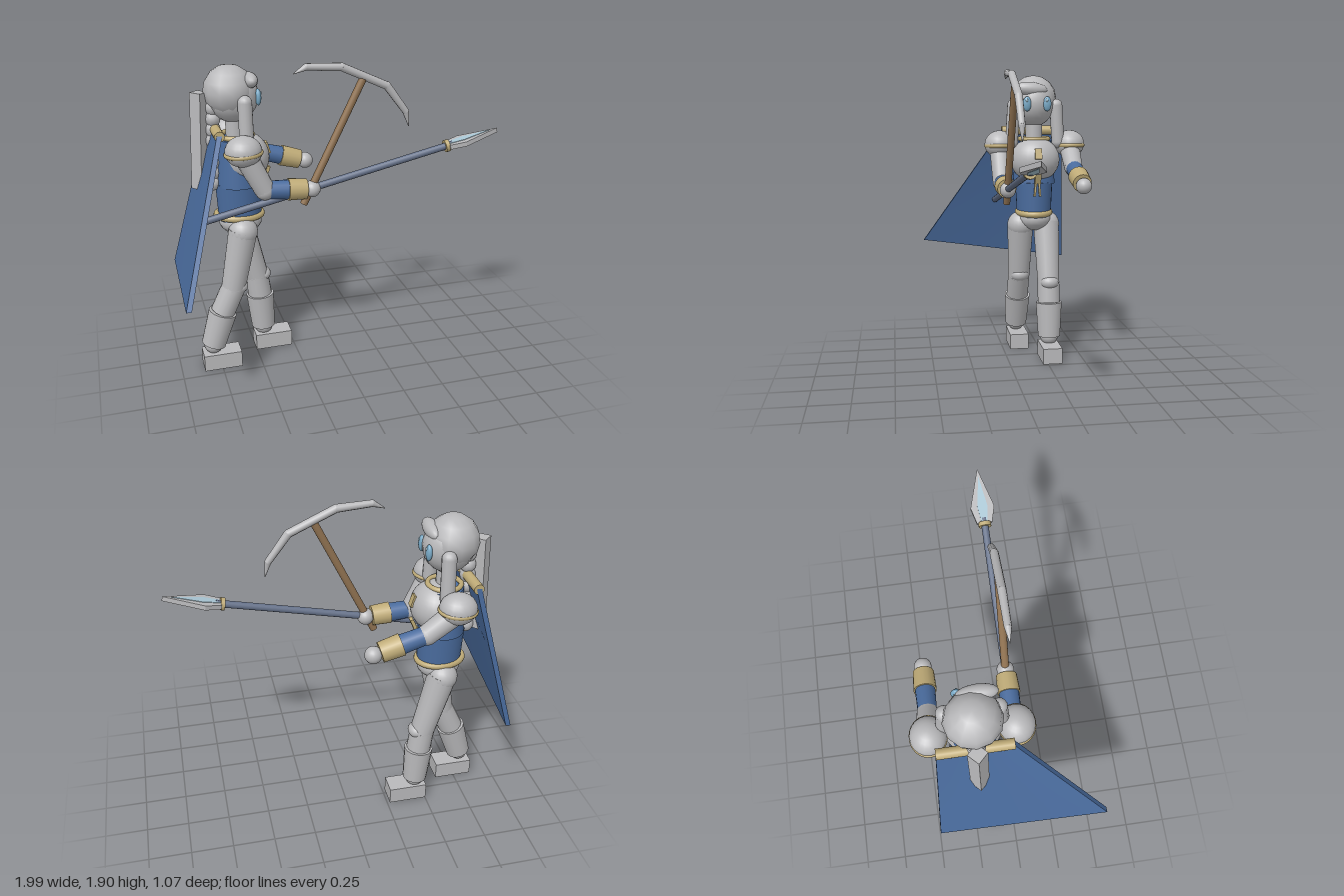
import * as THREE from 'three';

const mat = (name, color) => {
  const m = new THREE.MeshStandardMaterial({ color });
  m.name = name;
  return m;
};
const grey = mat('light grey', 0xb9b9bb);
const blue = mat('royal blue', 0x4a6c9e);
const gold = mat('pale gold', 0xc0ac78);
const brown = mat('wood brown', 0x917352);
const slate = mat('slate shaft', 0x66728a);
const eyeBlue = mat('eye blue', 0x78a9c6);
const ice = mat('ice blue', 0xa9c6d4);

const Y = new THREE.Vector3(0, 1, 0);
const V = (p) => new THREE.Vector3(...p);

export function createModel() {
  const model = new THREE.Group();
  const add = (name, geo, m, pos = [0, 0, 0]) => {
    const mesh = new THREE.Mesh(geo, m);
    mesh.name = name;
    mesh.position.set(...pos);
    model.add(mesh);
    return mesh;
  };
  // ellipsoid
  const ball = (name, m, pos, rx, ry = rx, rz = rx, seg = 20) => {
    const mesh = add(name, new THREE.SphereGeometry(1, seg, Math.round(seg * 0.7)), m, pos);
    mesh.scale.set(rx, ry, rz);
    return mesh;
  };
  // tapered round bar from a to b
  const rod = (name, m, a, b, ra, rb = ra, seg = 16) => {
    const p = V(a), q = V(b), d = q.clone().sub(p);
    const mesh = add(name, new THREE.CylinderGeometry(rb, ra, d.length(), seg), m);
    mesh.position.copy(p).add(q).multiplyScalar(0.5);
    mesh.quaternion.setFromUnitVectors(Y, d.normalize());
    return mesh;
  };
  // horizontal elliptical ring
  const ring = (name, pos, rx, rz, tube) => {
    const geo = new THREE.TorusGeometry(1, tube / rx, 10, 32).rotateX(Math.PI / 2);
    const mesh = add(name, geo, gold, pos);
    mesh.scale.set(rx, rx, rz);
    return mesh;
  };
  const mid = -0.2; // body centre line in z

  // head, hair cap, fringe and eyes
  ball('face', grey, [-0.585, 1.7, mid], 0.15, 0.155, 0.135);
  ball('hairCap', grey, [-0.605, 1.73, mid], 0.15, 0.15, 0.155, 12);
  ball('fringe', grey, [-0.49, 1.79, -0.165], 0.045, 0.045, 0.11).rotation.x = -0.08;
  for (const s of [-1, 1]) {
    const z = mid + s * 0.066;
    ball('eye', eyeBlue, [-0.449, 1.695, z], 0.018, 0.048, 0.027);
    ball('eyeGlint', ice, [-0.436, 1.717, z + 0.004], 0.008, 0.012, 0.008, 10);
    add('sideLock', new THREE.CapsuleGeometry(0.042, 0.24, 6, 14), grey,
      [-0.54, 1.565, mid + s * 0.148]).rotation.x = -s * 0.06;
  }
  // braid of beads and the long square tail behind it
  for (let i = 0; i < 9; i++) {
    ball('braidBead', grey, [-0.7 - 0.003 * i, 1.7 - i * 0.064, mid], 0.046, 0.05, 0.05, 12);
  }
  const tail = rod('backTail', grey, [-0.8, 1.16, mid], [-0.777, 1.73, mid], 0.052, 0.052, 4);
  tail.geometry = tail.geometry.toNonIndexed();
  tail.geometry.computeVertexNormals();

  // neck and torso
  rod('neck', grey, [-0.58, 1.43, mid], [-0.58, 1.6, mid], 0.055);
  ring('collar', [-0.575, 1.465, mid], 0.095, 0.095, 0.015);
  const upper = rod('upperTorso', blue, [-0.575, 1.17, mid], [-0.575, 1.45, mid], 0.13, 0.11, 28);
  upper.scale.z = 1.08;
  ball('chest', grey, [-0.53, 1.33, mid], 0.145, 0.148, 0.163, 28);
  const waist = rod('waist', blue, [-0.573, 0.97, mid], [-0.573, 1.18, mid], 0.13, 0.14, 28);
  waist.scale.z = 0.88;
  ring('belt', [-0.578, 0.975, mid], 0.135, 0.11, 0.02).rotation.z = -0.03;
  ball('hips', grey, [-0.573, 0.935, mid], 0.13, 0.085, 0.12);
  ball('hipLining', blue, [-0.573, 0.955, mid], 0.132, 0.03, 0.115);

  // brooch and forked tassel
  const plate = (name, size, pos, tilt) => {
    const mesh = add(name, new THREE.BoxGeometry(...size), gold, pos);
    mesh.rotation.z = tilt;
    return mesh;
  };
  plate('brooch', [0.02, 0.07, 0.045], [-0.395, 1.375, mid], 0.3);
  plate('tasselTop', [0.02, 0.08, 0.04], [-0.405, 1.22, mid], -0.4);
  for (const s of [-1, 1]) {
    plate('tasselProng', [0.015, 0.1, 0.013], [-0.428, 1.145, mid + s * 0.014], 0).rotation.x = -s * 0.08;
  }

  // arms: shoulder cap, sleeve, bracer and hand
  const arm = (z, elbow, hand) => {
    const at = (t) => V(elbow).lerp(V(hand), t).toArray();
    ball('shoulderCap', grey, [-0.575, 1.43, z], 0.107, 0.09, 0.1);
    ring('shoulderTrim', [-0.575, 1.42, z], 0.1, 0.09, 0.014).rotation.z = 0.05;
    rod('upperArm', grey, [-0.57, 1.41, z], elbow, 0.068, 0.06);
    ball('elbow', grey, elbow, 0.06);
    rod('sleeve', blue, at(0.06), at(0.5), 0.053, 0.057);
    rod('bracer', gold, at(0.48), at(0.87), 0.065, 0.06);
    ball('hand', grey, hand, 0.05);
  };
  arm(0.03, [-0.46, 1.19, 0.03], [-0.18, 1.17, 0.03]);
  arm(-0.44, [-0.41, 1.285, -0.435], [-0.105, 1.195, -0.435]);

  // legs: thigh, knee, boot and foot block
  const leg = (z, knee, bootTop, bootEnd, footX, footZ) => {
    const p = ([x, y]) => [x, y, z];
    rod('thigh', grey, p([-0.575, 0.9]), p(knee), 0.088, 0.074);
    ball('hipJoint', grey, p([-0.575, 0.89]), 0.089);
    ball('knee', grey, p(knee), 0.074);
    ball('kneePad', grey, p([knee[0] + 0.04, knee[1] + 0.005]), 0.05, 0.045, 0.06);
    rod('shin', grey, p(knee), p(bootTop), 0.074, 0.075);
    rod('boot', grey, p(bootEnd), p(bootTop), 0.075, 0.088);
    ball('ankle', grey, p([bootEnd[0], bootEnd[1]]), 0.06);
    add('foot', new THREE.BoxGeometry(0.235, 0.103, 0.128), grey, [footX, 0.0515, footZ]);
  };
  leg(-0.11, [-0.65, 0.53], [-0.725, 0.37], [-0.793, 0.155], -0.745, -0.112);
  leg(-0.285, [-0.472, 0.51], [-0.455, 0.375], [-0.44, 0.145], -0.385, -0.28);

  // cape: a thin slab flared towards its lower corners
  const cape = new THREE.BoxGeometry(1, 1, 1, 1, 8, 8);
  const cp = cape.attributes.position, mix = THREE.MathUtils.lerp;
  for (let i = 0; i < cp.count; i++) {
    const t = 0.5 - cp.getY(i), s = cp.getZ(i) + 0.5;
    cp.setXYZ(i,
      -0.7 + t * mix(-0.25, -0.285, s) + cp.getX(i) * 0.03,
      1.52 - t * mix(0.925, 0.79, s),
      mix(mix(-0.41, 0, s), mix(-0.47, 0.525, s), t));
  }
  cape.computeVertexNormals();
  add('cape', cape, blue);
  rod('capeBar', gold, [-0.7, 1.515, -0.41], [-0.7, 1.515, 0], 0.03);

  // spear with leaf blade
  const butt = V([-0.835, 1.03, 0.03]), tip = V([0.99, 1.43, 0.03]);
  const dir = tip.clone().sub(butt).normalize();
  const along = (d) => tip.clone().addScaledVector(dir, -d).toArray();
  rod('spearShaft', slate, butt.toArray(), along(0.3), 0.021);
  rod('spearCollar', gold, along(0.35), along(0.325), 0.037);
  const blade = (name, m, pts, depth) => {
    const shape = new THREE.Shape(pts.map(([x, y]) => new THREE.Vector2(x, y)));
    const geo = new THREE.ExtrudeGeometry(shape, { depth, bevelEnabled: false });
    geo.translate(0, 0, -depth / 2).rotateX(-Math.PI / 2);
    add(name, geo, m, tip.toArray()).rotation.z = Math.atan2(dir.y, dir.x);
  };
  blade('spearBlade', grey, [[-0.33, -0.045], [-0.235, -0.07], [0, 0], [-0.235, 0.07], [-0.33, 0.045]], 0.028);
  blade('bladeInlay', ice, [[-0.32, -0.018], [-0.23, -0.03], [-0.05, 0], [-0.23, 0.03], [-0.32, 0.018]], 0.034);

  // pickaxe: handle and segmented curved head with pointed ends
  rod('pickHandle', brown, [-0.233, 1.08, 0.03], [0.125, 1.8, 0.03], 0.022);
  const path = [[-0.28, 1.85], [-0.205, 1.885], [0, 1.873], [0.27, 1.75], [0.39, 1.59], [0.41, 1.5]]
    .map(([x, y]) => [x, y, 0.03]);
  const radii = [0.002, 0.02, 0.024, 0.024, 0.02, 0.002];
  for (let i = 0; i < path.length - 1; i++) {
    rod('pickHead', grey, path[i], path[i + 1], radii[i], radii[i + 1], 10);
    if (i) ball('pickJoint', grey, path[i], radii[i], radii[i], radii[i], 10);
  }
  return model;
}
